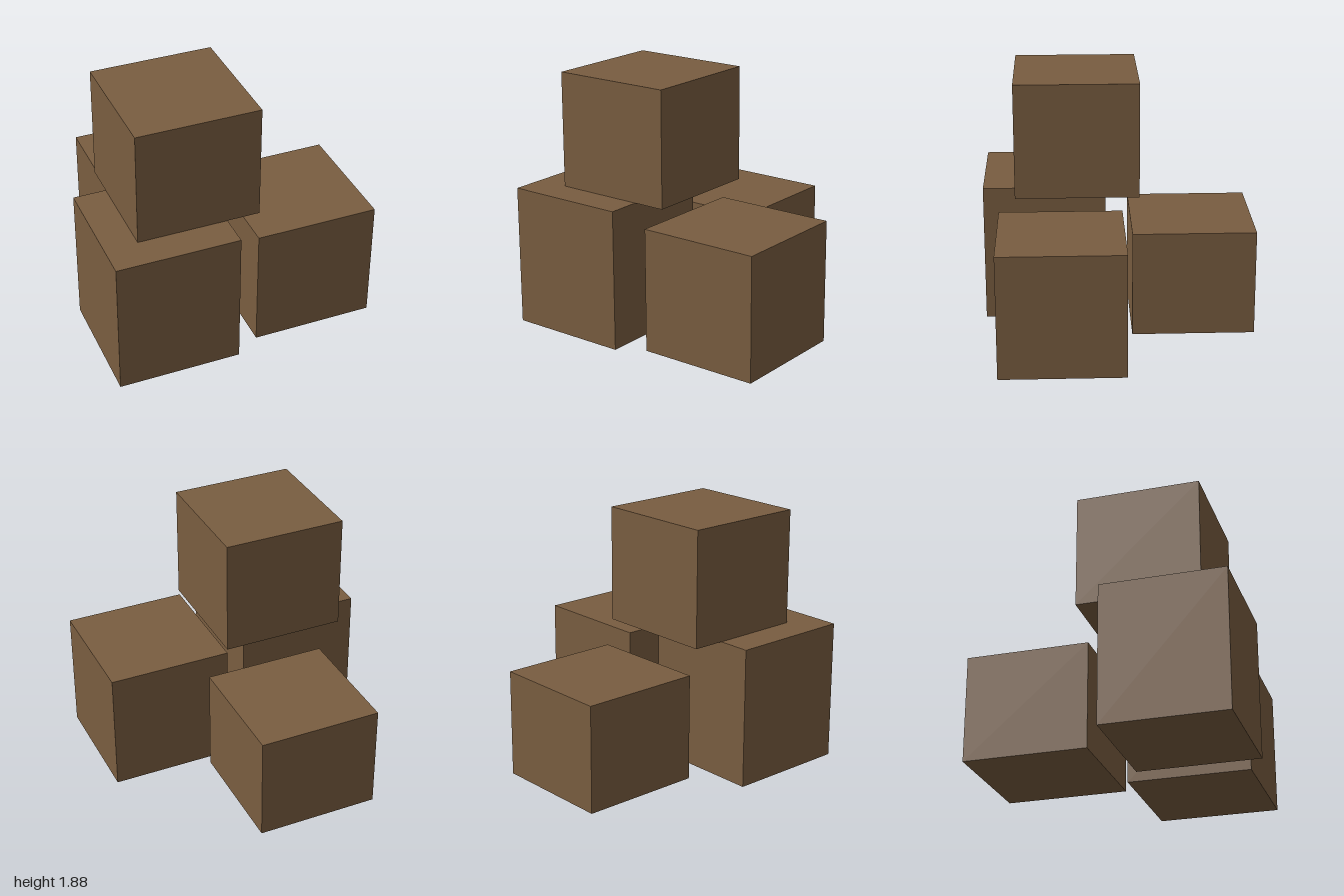
import * as THREE from 'three';

export function createModel() {
  const group = new THREE.Group();
  group.name = 'crateStack';

  const brown = new THREE.MeshStandardMaterial({ color: 0x795d40 });
  brown.name = 'brown cardboard';

  const side = 0.907; // shared square footprint

  // name, centre x, base y, centre z, height
  const crates = [
    ['tallCrate', -0.547, 0, 0.547, 1.033],
    ['mediumCrate', 0.547, 0, 0.427, 0.912],
    ['shortCrate', -0.182, 0, -0.547, 0.79],
    ['topCrate', -0.304, 1.033, 0.304, 0.85],
  ];

  for (const [name, x, base, z, height] of crates) {
    const crate = new THREE.Mesh(new THREE.BoxGeometry(side, height, side), brown);
    crate.name = name;
    crate.position.set(x, base + height / 2, z);
    group.add(crate);
  }
  return group;
}
